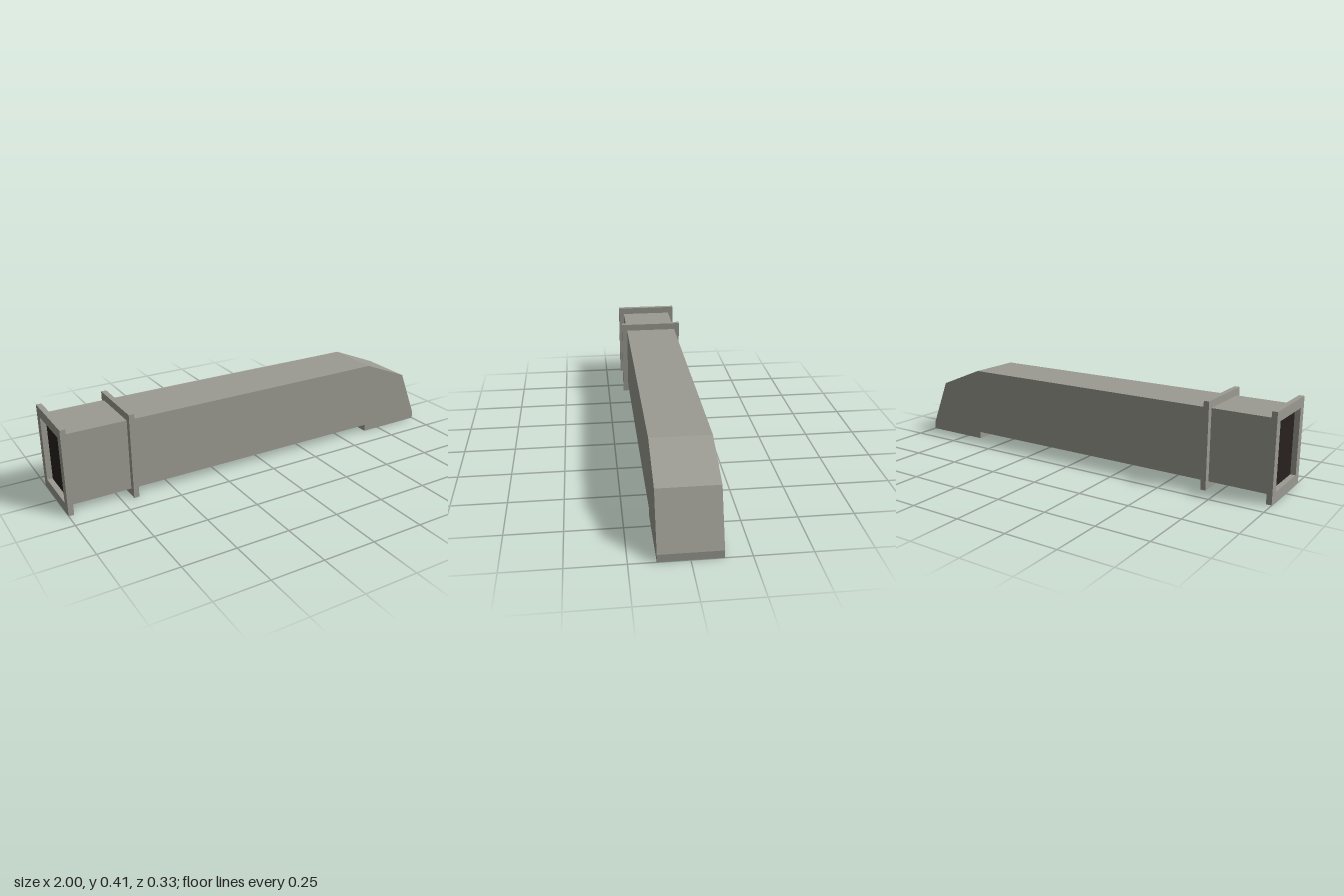
import * as THREE from 'three';

export function createModel() {
  const group = new THREE.Group();
  const metal = new THREE.MeshStandardMaterial({ color: 0x9b9b93, side: THREE.DoubleSide });
  const dark = new THREE.MeshStandardMaterial({ color: 0x28221e, side: THREE.DoubleSide });
  metal.name = 'grey metal';
  dark.name = 'dark opening';

  const add = (name, geometry, material) => {
    const mesh = new THREE.Mesh(geometry, material);
    mesh.name = name;
    group.add(mesh);
    return mesh;
  };

  // Side outline of the duct with its downturned hood
  const W = 0.135;
  const profile = [
    [-0.99, 0.035], [-0.99, 0.372], [0.66, 0.372], [0.9, 0.275],
    [1, 0.035], [1, 0], [0.66, 0], [0.66, 0.035],
  ];
  const shape = new THREE.Shape(profile.map(([x, y]) => new THREE.Vector2(x, y)));
  for (const s of [1, -1]) {
    const side = add(s > 0 ? 'ductFrontWall' : 'ductBackWall', new THREE.ShapeGeometry(shape), metal);
    if (s < 0) side.geometry.rotateY(Math.PI).scale(-1, 1, 1);
    // keep the back wall's outer side facing -z
    if (s < 0) {
      const index = side.geometry.index;
      for (let i = 0; i < index.count; i += 3) {
        const a = index.getX(i);
        index.setX(i, index.getX(i + 1));
        index.setX(i + 1, a);
      }
      side.geometry.computeVertexNormals();
    }
    side.position.z = s * W;
  }

  // Walls joining the sides; the inlet end and the hood's underside stay open
  const positions = [];
  profile.forEach(([x0, y0], i) => {
    if (i === 0 || i === 5) return;
    const [x1, y1] = profile[(i + 1) % profile.length];
    const a = [x0, y0, W], b = [x1, y1, W], c = [x1, y1, -W], d = [x0, y0, -W];
    positions.push(...a, ...b, ...c, ...a, ...c, ...d);
  });
  const walls = new THREE.BufferGeometry();
  walls.setAttribute('position', new THREE.Float32BufferAttribute(positions, 3));
  walls.computeVertexNormals();
  add('ductWalls', walls, metal);

  // Rectangular flange frames around the duct
  const rect = (path, hw, y0, y1) => {
    path.moveTo(-hw, y0);
    path.lineTo(hw, y0);
    path.lineTo(hw, y1);
    path.lineTo(-hw, y1);
    path.closePath();
    return path;
  };
  const flange = (name, x, depth, inner) => {
    const frame = rect(new THREE.Shape(), 0.163, 0, 0.407);
    frame.holes.push(rect(new THREE.Path(), W - inner, 0.035 + inner, 0.372 - inner));
    const geometry = new THREE.ExtrudeGeometry(frame, { depth, bevelEnabled: false });
    geometry.rotateY(Math.PI / 2);
    add(name, geometry, metal).position.x = x;
  };
  flange('endFlange', -1, 0.025, 0.012);
  flange('middleFlange', -0.694, 0.025, 0);

  // Dark inlet set back inside the end flange
  const inlet = add('inletOpening', new THREE.BoxGeometry(0.006, 0.335, 0.268), dark);
  inlet.position.set(-0.968, 0.2035, 0);

  return group;
}
